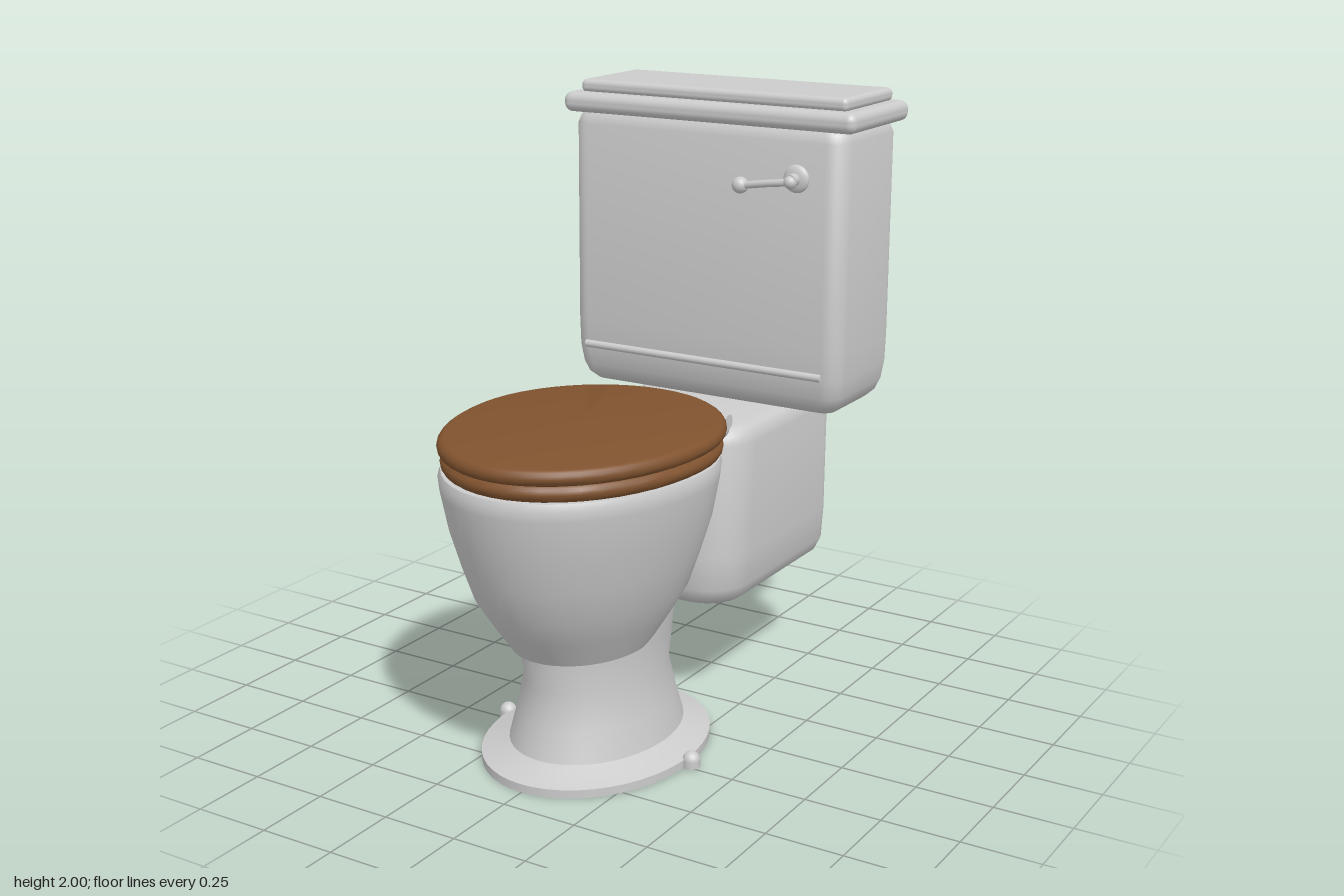
import * as THREE from 'three';
import { toCreasedNormals } from 'three/addons/utils/BufferGeometryUtils.js';
import { RoundedBoxGeometry } from 'three/addons/geometries/RoundedBoxGeometry.js';

const ceramic = new THREE.MeshStandardMaterial({ color: 0xcccccc });
const wood = new THREE.MeshStandardMaterial({ color: 0x80532f });

// Egg-shaped ring: half width, front z, back z, z of the widest point
function eggRing([y, hx, front, back, wide], n = 48) {
  return Array.from({ length: n }, (_, i) => {
    const a = (i / n) * Math.PI * 2, s = Math.sin(a);
    return [hx * Math.cos(a), y, wide + s * (s > 0 ? front - wide : wide - back)];
  });
}

// Rounded rectangle ring: half width, front z, back z, front and back corner radius
function boxRing([y, hx, front, back, rf, rb], n = 8) {
  const corners = [[1, front, rf, 1, 0], [-1, front, rf, 1, 1], [-1, back, rb, -1, 2], [1, back, rb, -1, 3]];
  return corners.flatMap(([sx, z, r, sz, quarter]) =>
    Array.from({ length: n + 1 }, (_, i) => {
      const a = (quarter + i / n) * Math.PI / 2;
      return [sx * (hx - r) + r * Math.cos(a), y, z - sz * r + r * Math.sin(a)];
    }));
}

// Skin over a stack of rings, bottom to top, closed at both ends
function loft(rings, crease = 0.6) {
  const n = rings[0].length, index = [];
  const centre = ring => {
    const zs = ring.map(p => p[2]);
    return [0, ring[0][1], (Math.min(...zs) + Math.max(...zs)) / 2];
  };
  const last = (rings.length - 1) * n, bottom = rings.length * n, top = bottom + 1;
  for (let j = 0; j < n; j++) {
    const k = (j + 1) % n;
    for (let i = 0; i < last; i += n) {
      index.push(i + j, i + n + j, i + k, i + k, i + n + j, i + n + k);
    }
    index.push(bottom, j, k, top, last + k, last + j);
  }
  const points = [...rings.flat(), centre(rings[0]), centre(rings[rings.length - 1])];
  const g = new THREE.BufferGeometry();
  g.setAttribute('position', new THREE.Float32BufferAttribute(points.flat(), 3));
  g.setIndex(index);
  return toCreasedNormals(g, crease);
}

export function createModel() {
  const model = new THREE.Group();
  const add = (name, geometry, x = 0, y = 0, z = 0, material = ceramic) => {
    const mesh = new THREE.Mesh(geometry, material);
    mesh.name = name;
    mesh.position.set(x, y, z);
    model.add(mesh);
    return mesh;
  };

  // Flared foot and neck
  add('pedestal', loft([
    [0, 0.335, 0.66, -0.19, 0.235],
    [0.027, 0.335, 0.66, -0.19, 0.235],
    [0.032, 0.32, 0.64, -0.17, 0.235],
    [0.065, 0.25, 0.565, -0.1, 0.235],
    [0.16, 0.228, 0.535, -0.07, 0.235],
    [0.27, 0.207, 0.51, -0.04, 0.235],
    [0.39, 0.215, 0.525, -0.06, 0.235],
    [0.62, 0.235, 0.52, -0.085, 0.22],
  ].map(r => eggRing(r))));

  // Bowl
  add('bowl', loft([
    [0.39, 0.21, 0.57, 0.08, 0.31],
    [0.48, 0.262, 0.637, 0.01, 0.3],
    [0.57, 0.312, 0.7, -0.04, 0.29],
    [0.68, 0.347, 0.743, -0.07, 0.28],
    [0.8, 0.383, 0.782, -0.09, 0.27],
    [0.92, 0.405, 0.808, -0.11, 0.27],
    [0.955, 0.408, 0.812, -0.12, 0.27],
    [0.975, 0.4, 0.803, -0.12, 0.27],
  ].map(r => eggRing(r))));

  // Seat and cover: egg-shaped slabs with rounded rims
  const slab = (y0, y1, hx, front, back) => {
    const rings = [], r = (y1 - y0) / 2;
    for (let i = 0; i <= 8; i++) {
      const a = (i / 8 - 0.5) * Math.PI, inset = r * (1 - Math.cos(a));
      rings.push(eggRing([(y0 + y1) / 2 + r * Math.sin(a), hx - inset, front - inset, back + inset, 0.27]));
    }
    return loft(rings);
  };
  add('seat', slab(0.973, 1.027, 0.404, 0.8, -0.15), 0, 0, 0, wood);
  add('seatCover', slab(1.024, 1.075, 0.41, 0.812, -0.172), 0, 0, 0, wood);

  // Block that carries the tank
  add('rearBlock', loft([
    [0.37, 0.2, -0.17, -0.735, 0.1, 0.05],
    [0.378, 0.24, -0.13, -0.772, 0.12, 0.06],
    [0.4, 0.268, -0.1, -0.798, 0.13, 0.07],
    [0.44, 0.284, -0.086, -0.81, 0.14, 0.07],
    [0.55, 0.291, -0.087, -0.811, 0.14, 0.07],
    [0.92, 0.293, -0.112, -0.811, 0.14, 0.07],
    [0.95, 0.287, -0.118, -0.806, 0.14, 0.07],
    [0.97, 0.272, -0.133, -0.79, 0.13, 0.06],
    [0.976, 0.25, -0.155, -0.768, 0.12, 0.05],
  ].map(r => boxRing(r)), 0.7));

  // Tank with a rounded underside
  add('tank', loft([
    [0.976, 0.41, -0.49, -0.72, 0.03, 0.03],
    [0.982, 0.45, -0.455, -0.757, 0.04, 0.04],
    [1.005, 0.475, -0.43, -0.782, 0.05, 0.05],
    [1.04, 0.49, -0.414, -0.798, 0.06, 0.06],
    [1.1, 0.498, -0.405, -0.807, 0.06, 0.06],
    [1.2, 0.5, -0.402, -0.81, 0.06, 0.06],
    [1.86, 0.5, -0.402, -0.81, 0.06, 0.06],
    [1.885, 0.492, -0.41, -0.802, 0.06, 0.06],
    [1.9, 0.48, -0.422, -0.79, 0.06, 0.06],
  ].map(r => boxRing(r)), 0.7));

  // Two-step tank lid
  add('tankLid', new RoundedBoxGeometry(1.07, 0.066, 0.416, 5, 0.028), 0, 1.927, -0.605);
  add('tankLidTop', new RoundedBoxGeometry(0.978, 0.044, 0.342, 4, 0.018), 0, 1.978, -0.611);

  // Trim bar along the tank front
  add('trimBar', new THREE.CylinderGeometry(0.013, 0.013, 0.89, 16), -0.003, 1.112, -0.405).rotation.z = Math.PI / 2;

  // Flush handle: domed plate, stem, curved lever, knob
  const plate = add('handlePlate', new THREE.SphereGeometry(0.045, 24, 12), 0.34, 1.745, -0.402);
  plate.scale.z = 0.4;
  add('handleStem', new THREE.CylinderGeometry(0.02, 0.02, 0.05, 16), 0.34, 1.745, -0.38).rotation.x = Math.PI / 2;
  add('handlePivot', new THREE.SphereGeometry(0.021, 16, 12), 0.34, 1.74, -0.36);
  const path = new THREE.CatmullRomCurve3([
    new THREE.Vector3(0.345, 1.74, -0.362),
    new THREE.Vector3(0.25, 1.728, -0.364),
    new THREE.Vector3(0.158, 1.713, -0.37),
  ]);
  add('handleLever', new THREE.TubeGeometry(path, 16, 0.012, 10));
  add('handleKnob', new THREE.SphereGeometry(0.027, 20, 14), 0.157, 1.714, -0.371);

  // Seat hinges and floor bolt caps on both sides
  for (const side of [-1, 1]) {
    add('hingeBarrel', new THREE.CylinderGeometry(0.024, 0.024, 0.09, 18), side * 0.206, 1.003, -0.15)
      .rotation.z = Math.PI / 2;
    add('hingeBase', new THREE.SphereGeometry(0.042, 20, 12), side * 0.203, 0.976, -0.155);
    add('boltCap', new THREE.CapsuleGeometry(0.028, 0.022, 6, 16), side * 0.347, 0.011, 0.235)
      .geometry.translate(0, 0, 0);
    // Flatten the caps against the floor
    const p = model.children.at(-1).geometry.attributes.position;
    for (let i = 0; i < p.count; i++) p.setY(i, Math.max(p.getY(i), -0.011));
  }
  return model;
}
